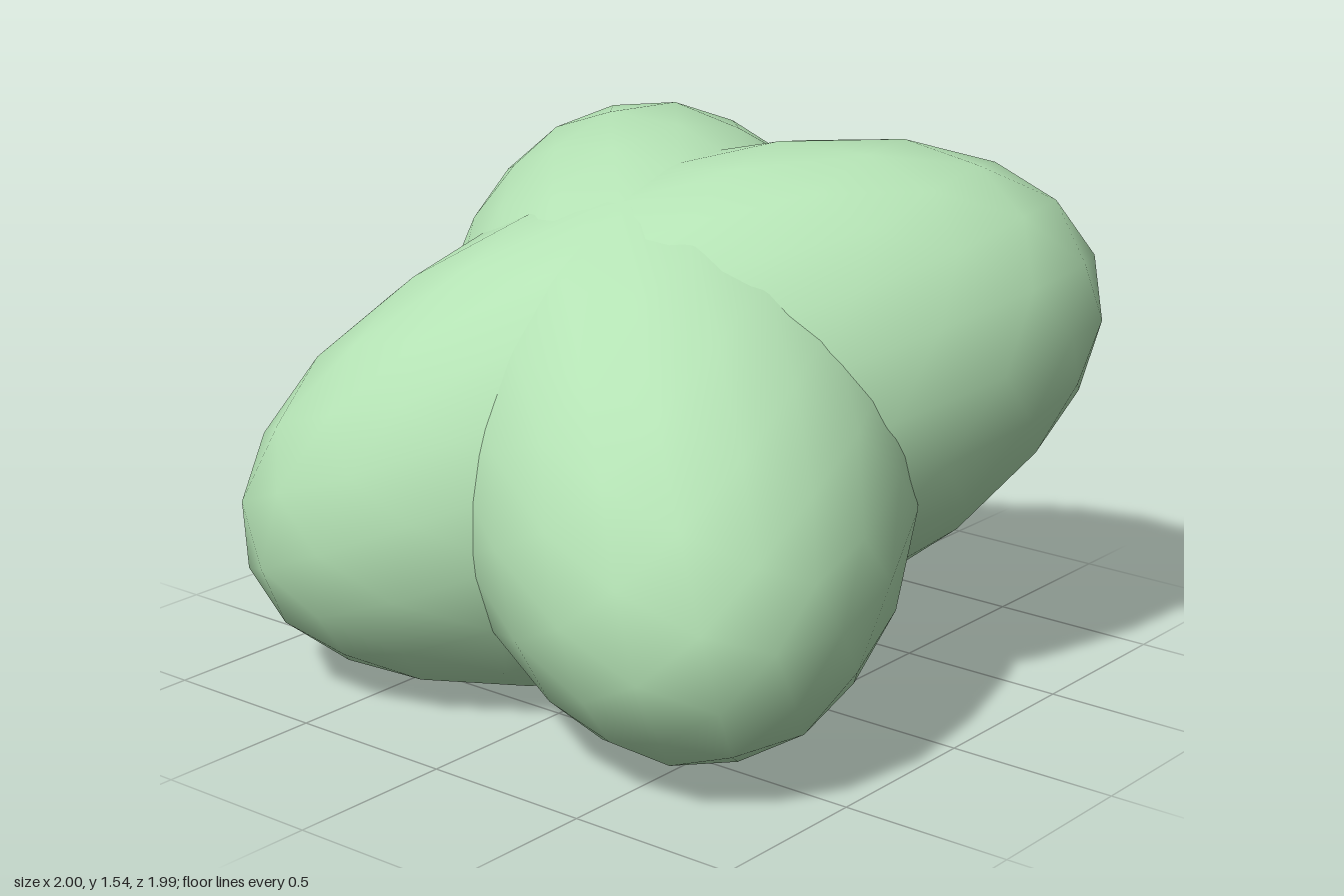
import * as THREE from 'three';

// Two elongated rounded bodies, tilted backwards and crossing in the middle.
export function createModel() {
  const group = new THREE.Group();
  group.name = 'crossedLobes';
  const material = new THREE.MeshStandardMaterial({ color: 0xb4e2b4 });
  const radius = 0.69, halfLength = 1.29;

  for (const side of [-1, 1]) {
    // long axis runs from a low front corner to the opposite high back corner
    const axis = new THREE.Vector3(side * 0.728, 0.365, -0.728).normalize();
    const body = new THREE.Mesh(new THREE.IcosahedronGeometry(1, 3), material);
    body.name = side > 0 ? 'lobeRisingToBackLeft' : 'lobeRisingToBackRight';
    body.scale.set(radius, halfLength, radius);
    body.quaternion.setFromUnitVectors(new THREE.Vector3(0, 1, 0), axis);
    body.position.y = 0.787;
    group.add(body);
  }
  return group;
}
